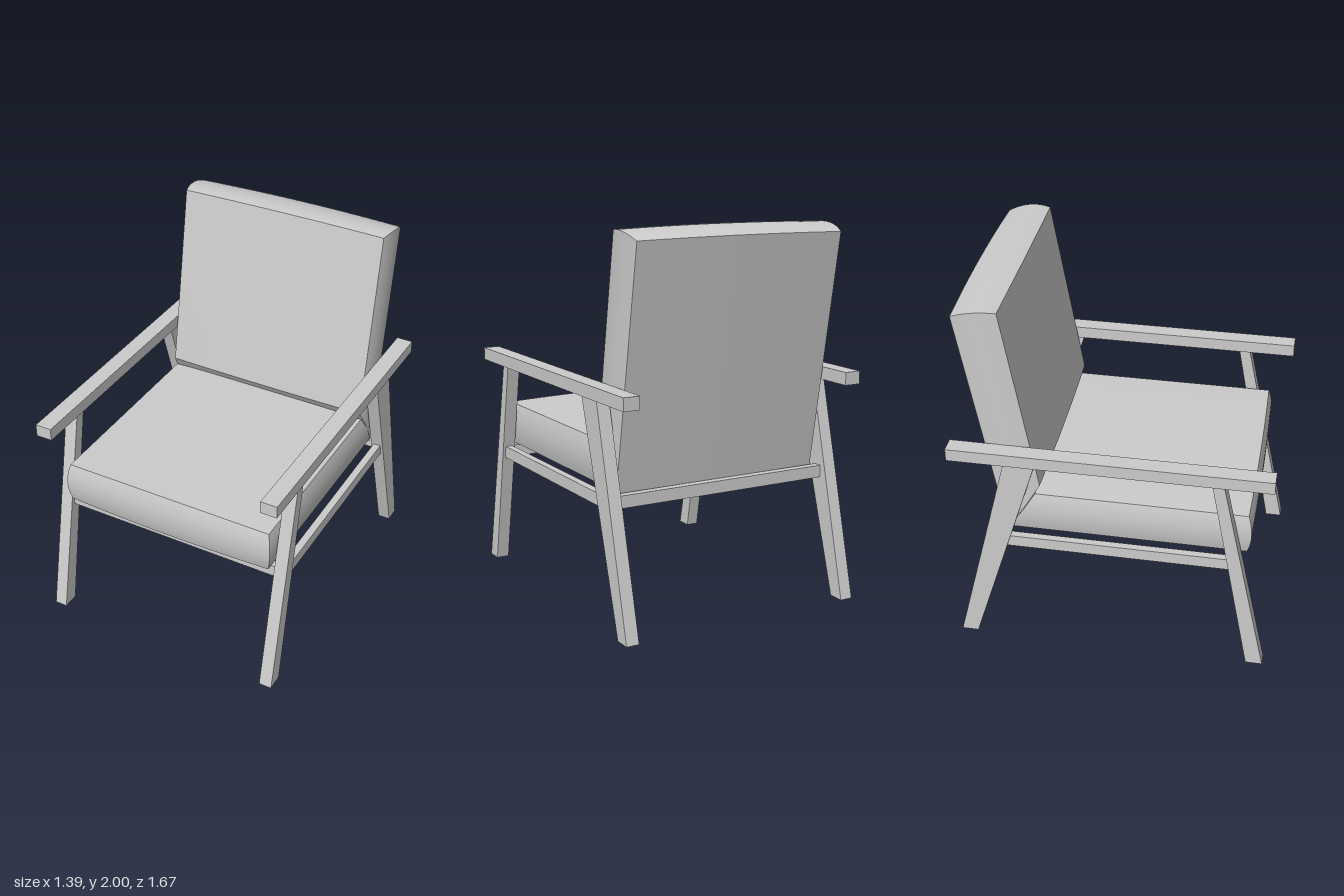
import * as THREE from 'three';

const material = new THREE.MeshStandardMaterial({ color: 0xcccccc });

function add(parent, name, geometry, x = 0, y = 0, z = 0) {
  const mesh = new THREE.Mesh(geometry, material);
  mesh.name = name;
  mesh.position.set(x, y, z);
  parent.add(mesh);
}

// Tapered leg: a side profile of [z, y] corners extruded across x
function legGeometry(corners, width) {
  const shape = new THREE.Shape(corners.map(([z, y]) => new THREE.Vector2(z, y)));
  return new THREE.ExtrudeGeometry(shape, { depth: width, bevelEnabled: false })
    .translate(0, 0, -width / 2)
    .rotateY(-Math.PI / 2);
}

// Cushion: a box warped between two faces, each a [z, y] line from the seat joint
// to the free end. The sides and free end bulge, and the faces are slightly pillowed.
function cushionGeometry(lower, upper, halfWidth, flip) {
  const geometry = new THREE.BoxGeometry(2, 2, 2, 14, 10, 14);
  const p = geometry.attributes.position;
  const vec = ([z, y]) => new THREE.Vector2(z, y);
  const [l0, l1, u0, u1] = [...lower, ...upper].map(vec);
  const along = l1.clone().sub(l0).normalize();
  const across = u1.clone().sub(l1).normalize();
  for (let i = 0; i < p.count; i++) {
    const u = p.getX(i), t = p.getY(i), s = p.getZ(i);
    const k = (s + 1) / 2;
    const bulge = 1 - t * t;
    const point = l0.clone().lerp(l1, k)
      .lerp(u0.clone().lerp(u1, k), (t + 1) / 2)
      .addScaledVector(along, 0.02 * bulge * k + 0.008 * (1 - u * u) * k)
      .addScaledVector(across, 0.008 * t * (1 - u * u));
    p.setXYZ(i, flip * u * (halfWidth + 0.016 * bulge), point.y, point.x);
  }
  geometry.computeVertexNormals();
  return geometry;
}

export function createModel() {
  const chair = new THREE.Group();
  chair.name = 'armchair';

  // Side frames
  const frontLeg = legGeometry([[0.745, 0], [0.835, 0], [0.585, 1.17], [0.525, 1.17]], 0.07);
  const backLeg = legGeometry([[-0.835, 0], [-0.745, 0], [-0.38, 1.17], [-0.54, 1.17]], 0.07);
  for (const [side, sign] of [['left', 1], ['right', -1]]) {
    const frame = new THREE.Group();
    frame.name = side + 'Frame';
    add(frame, side + 'FrontLeg', frontLeg, sign * 0.65);
    add(frame, side + 'BackLeg', backLeg, sign * 0.65);
    add(frame, side + 'Armrest', new THREE.BoxGeometry(0.09, 0.068, 1.67), sign * 0.65, 1.2);
    add(frame, side + 'SeatRail', new THREE.BoxGeometry(0.04, 0.065, 1.25), sign * 0.65, 0.662, 0.03);
    chair.add(frame);
  }

  // Cross rails under the seat
  const crossRail = new THREE.BoxGeometry(1.25, 0.065, 0.045);
  add(chair, 'frontRail', crossRail, 0, 0.662, 0.65);
  add(chair, 'backRail', crossRail, 0, 0.662, -0.6);

  // Cushions, meeting along a slanted joint
  add(chair, 'seatCushion', cushionGeometry(
    [[-0.55, 0.7], [0.71, 0.7]], [[-0.405, 0.93], [0.71, 0.93]], 0.592, 1));
  add(chair, 'backCushion', cushionGeometry(
    [[-0.56, 0.68], [-0.782, 1.952]], [[-0.378, 0.985], [-0.55, 1.99]], 0.59, -1));

  return chair;
}
